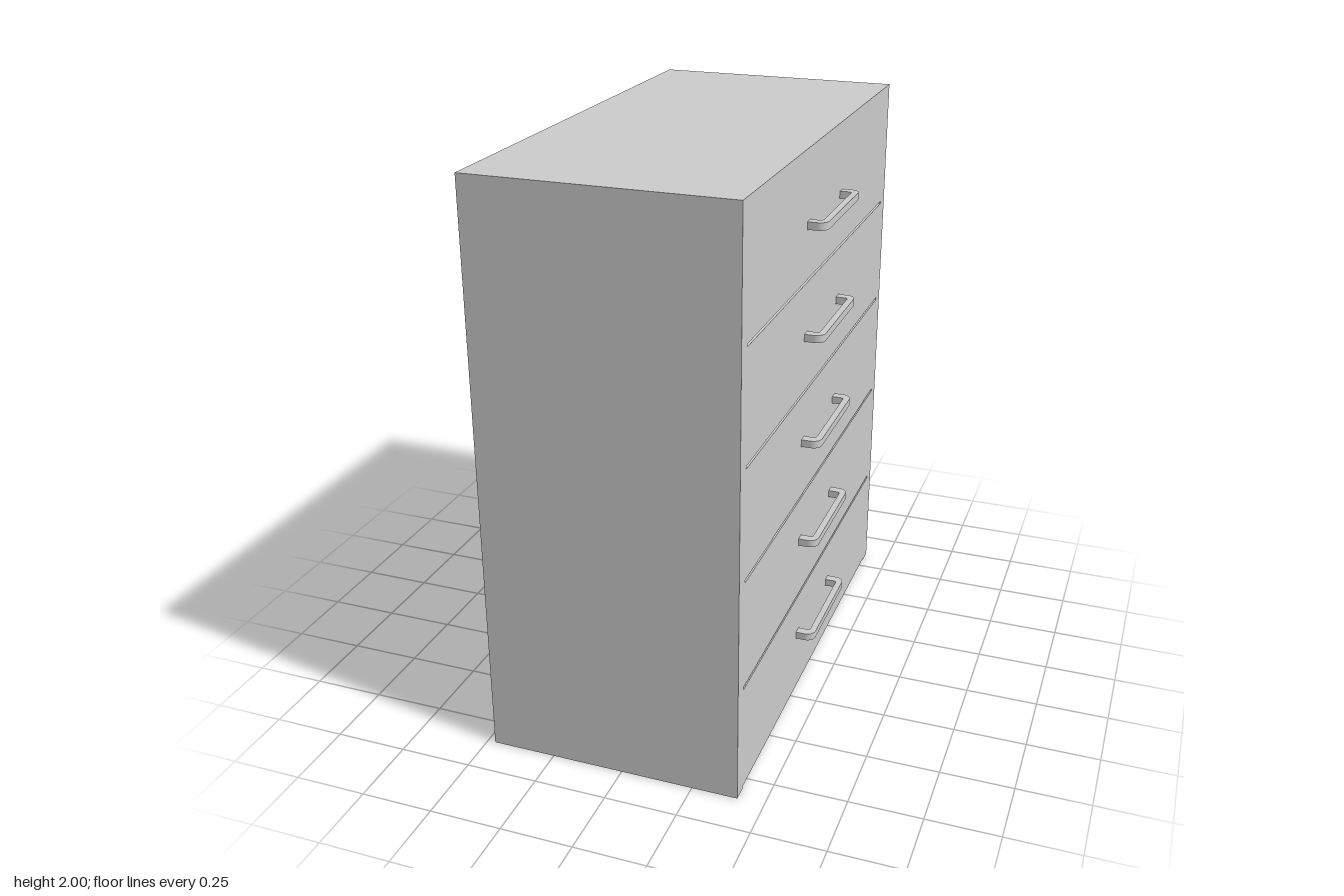
import * as THREE from 'three';

const material = new THREE.MeshStandardMaterial({ color: 0xcccccc });
const BACK = -0.472, FRONT = 0.408, HALF_WIDTH = 0.857, INNER = 0.803, TOP_UNDERSIDE = 1.946;

// Box given by its lower and upper corners
function box(name, [x0, y0, z0], [x1, y1, z1]) {
  const mesh = new THREE.Mesh(new THREE.BoxGeometry(x1 - x0, y1 - y0, z1 - z0), material);
  mesh.name = name;
  mesh.position.set((x0 + x1) / 2, (y0 + y1) / 2, (z0 + z1) / 2);
  return mesh;
}

// U-shaped pull with rounded corners, flat above and below
function handleGeometry() {
  const reach = 0.064, half = 0.212, leg = 0.032, bar = 0.022, height = 0.026;
  const outer = 0.032, inner = 0.008;
  const s = new THREE.Shape();
  s.moveTo(0, -half);
  s.lineTo(reach - outer, -half);
  s.absarc(reach - outer, -half + outer, outer, -Math.PI / 2, 0, false);
  s.lineTo(reach, half - outer);
  s.absarc(reach - outer, half - outer, outer, 0, Math.PI / 2, false);
  s.lineTo(0, half);
  s.lineTo(0, half - leg);
  const xi = reach - bar - inner, zi = half - leg - inner;
  s.lineTo(xi, half - leg);
  s.absarc(xi, zi, inner, Math.PI / 2, 0, true);
  s.lineTo(reach - bar, -zi);
  s.absarc(xi, -zi, inner, 0, -Math.PI / 2, true);
  s.lineTo(0, -half + leg);
  s.closePath();
  const g = new THREE.ExtrudeGeometry(s, { depth: height, bevelEnabled: false, curveSegments: 6 });
  return g.translate(0, 0, -height / 2).rotateX(Math.PI / 2);
}

export function createModel() {
  const model = new THREE.Group();
  model.name = 'chestOfDrawers';

  // Carcass: two side panels and the top
  for (const side of [-1, 1]) {
    const z = [side * INNER, side * HALF_WIDTH].sort((a, b) => a - b);
    model.add(box(side > 0 ? 'leftSidePanel' : 'rightSidePanel',
      [BACK, 0, z[0]], [FRONT, TOP_UNDERSIDE, z[1]]));
  }
  model.add(box('topPanel', [BACK, TOP_UNDERSIDE, -HALF_WIDTH], [FRONT, 2, HALF_WIDTH]));

  // Five drawers with narrow gaps between, each with a pull
  const pull = handleGeometry();
  const gap = 0.009, bottom = 0.008, pitch = (TOP_UNDERSIDE + gap - bottom) / 5;
  for (let i = 0; i < 5; i++) {
    const drawer = new THREE.Group();
    drawer.name = `drawer${i + 1}`;
    const y = bottom + i * pitch;
    drawer.add(box('drawerBody', [BACK, y, -INNER], [FRONT, y + pitch - gap, INNER]));
    const handle = new THREE.Mesh(pull, material);
    handle.name = 'handle';
    handle.position.set(FRONT, 0.234 + i * 0.379, 0);
    drawer.add(handle);
    model.add(drawer);
  }
  return model;
}
